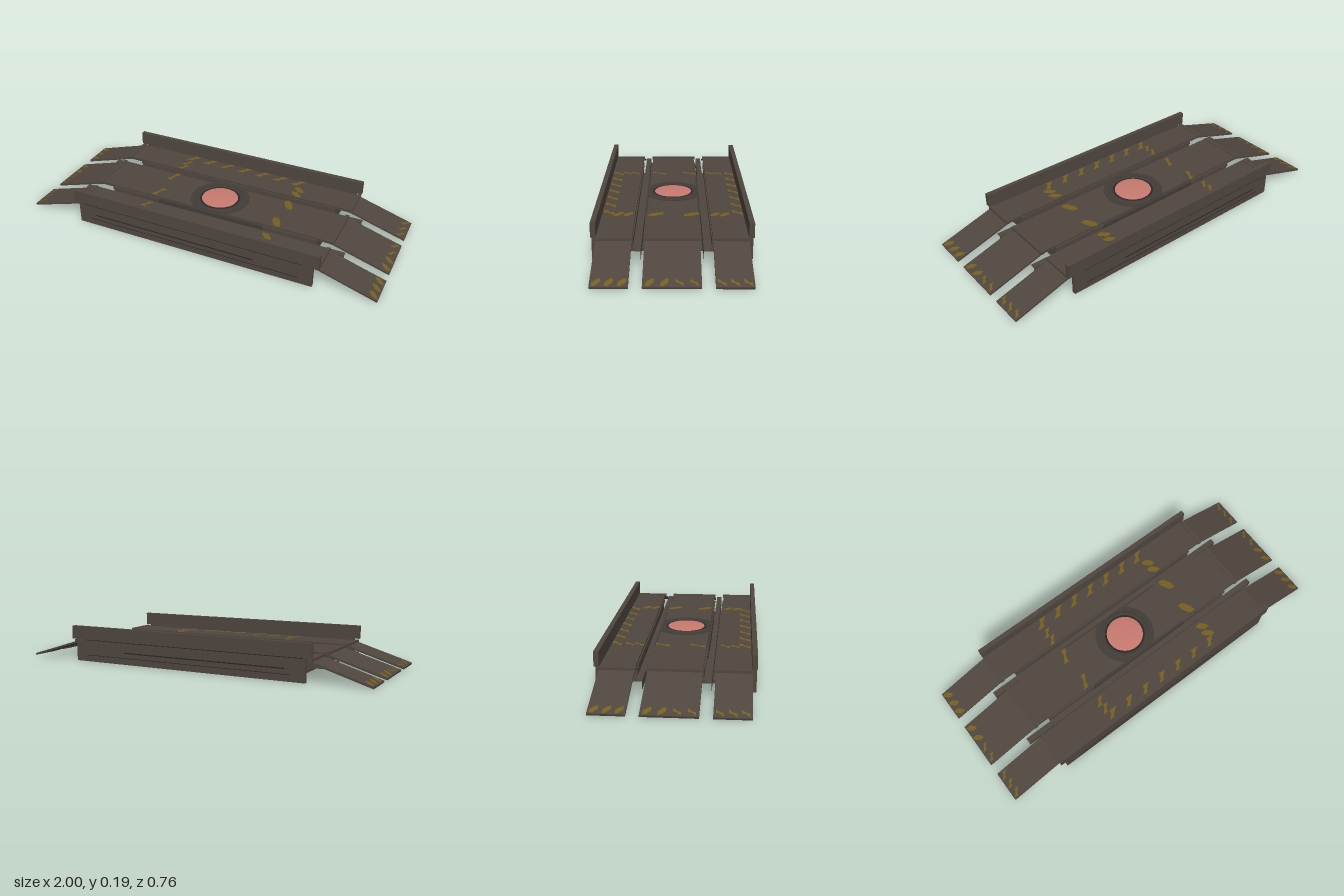
import * as THREE from 'three';

const mat = (name, color, side = THREE.FrontSide) => {
  const m = new THREE.MeshStandardMaterial({ color, side });
  m.name = name;
  return m;
};

export function createModel() {
  const model = new THREE.Group();
  model.name = 'vehicleLiftPlatform';
  const metal = mat('brown metal', 0x50463f);
  const dark = mat('dark seams', 0x2b2724);
  const rim = mat('grey rim', 0x423c38);
  const yellow = mat('worn yellow', 0x75601f);
  const red = mat('pink lens', 0xc87a70);

  const add = (name, geo, m, parent = model) => {
    const mesh = new THREE.Mesh(geo, m);
    mesh.name = name;
    parent.add(mesh);
    return mesh;
  };
  // Box given by its minimum and maximum on each axis
  const box = (name, x0, x1, y0, y1, z0, z1, m = metal, parent = model) => {
    const mesh = add(name, new THREE.BoxGeometry(x1 - x0, y1 - y0, z1 - z0), m, parent);
    mesh.position.set((x0 + x1) / 2, (y0 + y1) / 2, (z0 + z1) / 2);
    return mesh;
  };
  // Flat slanted hazard mark; lean is +1 or -1
  const mark = (x, y, z, w, d, lean, parent = model) => {
    const s = new THREE.Shape();
    const k = lean * w * 0.25;
    s.moveTo(-w / 4 + k, -d / 2);
    s.lineTo(w / 4 + k, -d / 2);
    s.lineTo(w / 4 + k * 0.8, -d * 0.1);
    s.lineTo(w / 4 - k, d / 2);
    s.lineTo(-w / 4 - k, d / 2);
    s.lineTo(-w / 4 - k * 0.8, d * 0.1);
    const mesh = add('hazardMark', new THREE.ShapeGeometry(s), yellow, parent);
    mesh.rotation.x = -Math.PI / 2;
    mesh.position.set(x, y, z);
  };

  // Base tray and the three decks
  const top = 0.111;
  const lanes = [[-0.36, -0.19], [-0.13, 0.13], [0.19, 0.36]];
  box('baseTray', -0.61, 0.61, 0.012, 0.03, -0.36, 0.36);
  for (let i = -8; i <= 8; i++) {
    box('underRib', -0.6, 0.6, 0.009, 0.012, i * 0.04 - 0.004, i * 0.04 + 0.004, dark);
  }
  for (const [z0, z1] of lanes) {
    box('deckBody', -0.61, 0.61, 0.03, 0.097, z0, z1);
    box('deckPlate', -0.69, 0.69, 0.097, top, z0, z1);
  }

  for (const s of [-1, 1]) {
    const span = (a, b) => (s > 0 ? [a, b] : [-b, -a]);
    // Side wall, guard rail and wall grooves
    box('sideWall', -0.675, 0.675, 0, 0.12, ...span(0.36, 0.38));
    box('guardRail', -0.705, 0.705, 0.12, 0.192, ...span(0.357, 0.382));
    box('wallGroove', -0.57, 0.36, 0.06, 0.066, ...span(0.379, 0.381), dark);
    box('wallGroove', -0.6, 0.6, 0.033, 0.036, ...span(0.379, 0.381), dark);
    box('wallSeam', -0.66, 0.61, 0.116, 0.12, ...span(0.379, 0.381), dark);
    // Ledges along the channel, and the housing beside the lens
    box('channelLedge', -0.61, 0.61, 0.085, 0.1, ...span(0.13, 0.138));
    box('channelLedge', -0.61, 0.61, 0.085, 0.1, ...span(0.184, 0.19));
    box('lensHousing', -0.31, 0.31, 0.03, 0.102, ...span(0.13, 0.143), rim);
    // Open-ended sliding rail in the channel
    const rail = box('slidingRail', -0.77, 0.77, 0.036, 0.08, ...span(0.145, 0.174));
    rail.geometry.setIndex(Array.from(rail.geometry.index.array).slice(12));
    rail.geometry.clearGroups();
  }

  // Hinged ramps at both ends
  const drop = 0.097, run = 0.317;
  const length = Math.hypot(drop, run);
  for (const s of [-1, 1]) {
    const end = new THREE.Group();
    end.name = s > 0 ? 'leftRamps' : 'rightRamps';
    end.rotation.y = s > 0 ? 0 : Math.PI;
    model.add(end);
    for (const [z0, z1] of lanes) {
      box('hinge', 0.682, 0.702, 0.099, 0.115, z0 - 0.006, z1 + 0.006, metal, end);
      const ramp = new THREE.Group();
      ramp.name = 'ramp';
      ramp.position.set(0.683, 0.108, 0);
      ramp.rotation.z = -Math.atan2(drop, run);
      end.add(ramp);
      box('rampPlate', 0, length, -0.01, 0, z0, z1, metal, ramp);
      const count = z1 - z0 > 0.2 ? 4 : 3;
      for (let i = 0; i < count; i++) {
        const z = z0 + (z1 - z0) * (i + 0.5) / count;
        mark(length - 0.03, 0.0015, z, 0.05, 0.036, z < 0 ? -1 : 1, ramp);
      }
    }
  }

  // Hazard border on the decks
  const y = top + 0.0015;
  for (let i = 0; i < 7; i++) {
    const x = -0.33 + i * 0.112;
    mark(x, y, -0.332, 0.085, 0.052, -1);
    mark(x, y, 0.325, 0.085, 0.056, -1);
  }
  for (const z of [-0.265, -0.215, -0.095, 0.085, 0.225, 0.275]) {
    mark(-0.34, y, z, 0.06, z * z < 0.02 ? 0.075 : 0.045, -1);
    mark(0.37, y, z, 0.06, z * z < 0.02 ? 0.075 : 0.045, 1);
  }

  // Round seat trimmed to the deck width, with rim and domed lens
  const a = Math.asin(0.137 / 0.163);
  const seat = new THREE.Shape();
  seat.absarc(0, 0, 0.163, -a, a, false);
  seat.absarc(0, 0, 0.163, Math.PI - a, Math.PI + a, false);
  const plate = add('lensSeat', new THREE.ExtrudeGeometry(seat,
    { depth: 0.003, bevelEnabled: false, curveSegments: 20 }), rim);
  plate.rotation.x = -Math.PI / 2;
  plate.position.y = top - 0.001;
  const profile = (pts) => pts.map(([r, h]) => new THREE.Vector2(r, h));
  add('lensRim', new THREE.LatheGeometry(profile(
    [[0.138, 0.11], [0.132, 0.117], [0.116, 0.117], [0.108, 0.112]]), 40), rim);
  add('lensGap', new THREE.CylinderGeometry(0.112, 0.112, 0.003, 40), dark).position.y = 0.1125;
  add('lens', new THREE.LatheGeometry(profile(
    [[0.102, 0.112], [0.1, 0.115], [0.075, 0.1175], [0.04, 0.1195], [0, 0.1205]]), 40), red);

  return model;
}
